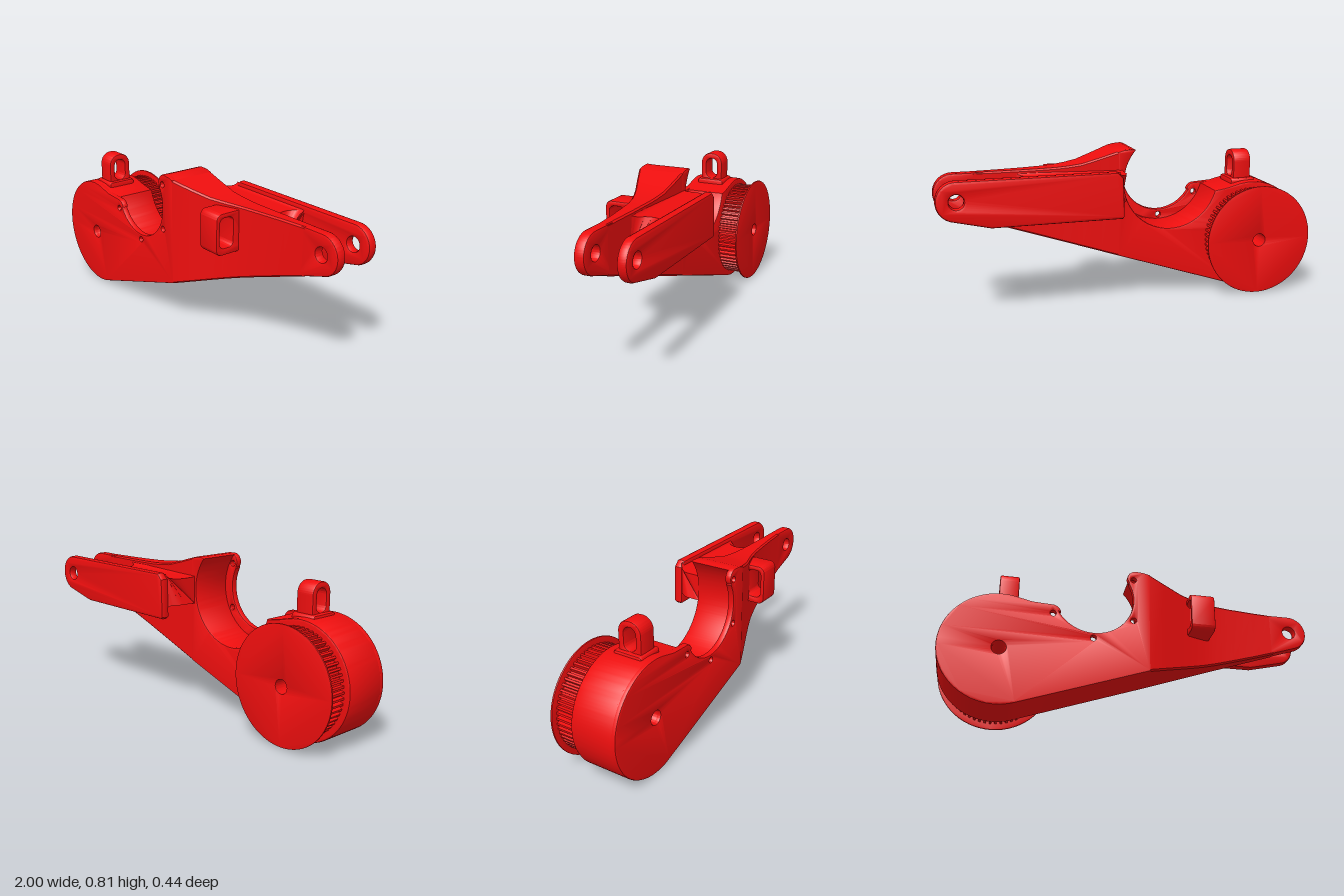
import * as THREE from 'three';
import { toCreasedNormals } from 'three/addons/utils/BufferGeometryUtils.js';

const material = new THREE.MeshStandardMaterial({ color: 0xee0e0e });
const PULLEY = [-0.7, 0.3];      // wheel axis
const MOTOR = [-0.235, 0.632];   // centre of the motor pocket
const PIVOT = [0.9, 0.63];       // fork pin axis

function mesh(name, geometry, crease = 0.6) {
  const m = new THREE.Mesh(toCreasedNormals(geometry, crease), material);
  m.name = name;
  return m;
}

// Extrusion between two depths whose bevel stays inside the given outline
function slab(shape, d0, d1, b = 0.01) {
  const g = new THREE.ExtrudeGeometry(shape, {
    depth: d1 - d0 - 2 * b, bevelEnabled: b > 0, bevelSize: b, bevelThickness: b,
    bevelOffset: -b, bevelSegments: 2, curveSegments: 32,
  });
  return g.translate(0, 0, d0 + b);
}

function hole(shape, [x, y], r) {
  shape.holes.push(new THREE.Path().absarc(x, y, r, 0, Math.PI * 2, true));
}

function roundedRect(x0, y0, x1, y1, r) {
  return new THREE.Shape()
    .absarc(x1 - r, y0 + r, r, -Math.PI / 2, 0)
    .absarc(x1 - r, y1 - r, r, 0, Math.PI / 2)
    .absarc(x0 + r, y1 - r, r, Math.PI / 2, Math.PI)
    .absarc(x0 + r, y0 + r, r, Math.PI, Math.PI * 1.5);
}

// Wheel end plus the side of the body up to the arm; flange adds screw ears
function bodyShape(flange) {
  const s = new THREE.Shape();
  s.moveTo(-0.604, 0.016).lineTo(0.06, 0.24).lineTo(0.06, 0.798).lineTo(0.025, 0.807);
  if (flange) {
    s.absarc(-0.015, 0.764, 0.046, Math.PI / 2, 3.75);
    s.absarc(...MOTOR, 0.206, 0.5, -2.62, true);
    s.absarc(-0.448, 0.52, 0.046, 0.2, Math.PI / 2);
  } else {
    s.lineTo(-0.015, 0.81);
    s.absarc(...MOTOR, 0.26, 0.72, -2.87, true);
  }
  s.lineTo(-0.55, 0.572);
  s.absarc(...PULLEY, 0.3, 1.3, 5.037);
  hole(s, PULLEY, 0.035);
  if (flange) {
    [[-0.443, 0.515], [-0.235, 0.395], [-0.028, 0.515], [-0.028, 0.755]].forEach((p) => hole(s, p, 0.014));
  }
  return s;
}

// Tapering arm, lofted through chamfered sections [x, top, back, front]
function armGeometry() {
  const stations = [
    [0.04, 0.803, -0.03, 0.22], [0.06, 0.798, -0.03, 0.218], [0.15, 0.772, -0.028, 0.182],
    [0.25, 0.745, -0.025, 0.14], [0.32, 0.737, -0.023, 0.112], [0.38, 0.733, -0.022, 0.091],
    [0.45, 0.731, -0.02, 0.074], [0.55, 0.73, -0.02, 0.058], [0.68, 0.73, -0.02, 0.042],
    [0.8, 0.73, -0.02, 0.031],
  ];
  const c = 0.008, n = 8, pos = [], idx = [];
  for (const [x, t, zb, zf] of stations) {
    const b = 0.24 + (x - 0.06) * 0.338;
    const ring = [[b, zb + c], [b + c, zb], [t - c, zb], [t, zb + c],
      [t, zf - c], [t - c, zf], [b + c, zf], [b, zf - c]];
    ring.forEach(([y, z]) => pos.push(x, y, z));
  }
  const last = (stations.length - 1) * n;
  for (let i = 0; i < last; i += n) {
    for (let j = 0; j < n; j++) {
      const k = (j + 1) % n;
      idx.push(i + j, i + k, i + n + j, i + k, i + n + k, i + n + j);
    }
  }
  for (let j = 1; j < n - 1; j++) idx.push(0, j + 1, j, last, last + j, last + j + 1);
  const g = new THREE.BufferGeometry();
  g.setAttribute('position', new THREE.Float32BufferAttribute(pos, 3));
  g.setIndex(idx);
  return g;
}

// Fork web: filleted section run along x, with a round slot end and a curved motor side
function webGeometry() {
  const mid = 0.098, half = 0.082, f = 0.03, steps = 28, top = [], bottom = [];
  for (let i = 0; i <= steps; i++) {
    const d = -Math.cos((Math.PI * i) / steps) * half;
    const e = Math.max(0, Math.abs(d) - half + f);
    const rise = f - Math.sqrt(Math.max(0, f * f - e * e));
    bottom.push(new THREE.Vector2(mid + d, 0.56 - rise * 0.9));
    top.unshift(new THREE.Vector2(mid + d, 0.7 + rise * 0.8));
  }
  const g = new THREE.ExtrudeGeometry(new THREE.Shape([...bottom, ...top]), { depth: 1, bevelEnabled: false });
  const p = g.attributes.position;
  for (let i = 0; i < p.count; i++) {
    const s = p.getX(i), t = p.getZ(i), d = s - mid;
    const start = 0.035 + 0.055 * Math.max(0, (s - 0.1) / 0.08) ** 2;
    const end = 0.61 - Math.sqrt(Math.max(0, half * half - d * d));
    p.setXYZ(i, start + (end - start) * t, p.getY(i), -s);
  }
  return g;
}

// Toothed wheel outline
function gearShape(teeth, rOut, rIn) {
  const pts = [];
  for (let i = 0; i < teeth; i++) {
    [[0, rIn], [0.38, rIn], [0.5, rOut], [0.88, rOut]].forEach(([k, r]) => {
      const a = ((i + k) / teeth) * Math.PI * 2;
      pts.push(new THREE.Vector2(PULLEY[0] + r * Math.cos(a), PULLEY[1] + r * Math.sin(a)));
    });
  }
  const s = new THREE.Shape(pts);
  hole(s, PULLEY, 0.035);
  return s;
}

// Cable guide: rounded frame open along x
function guide(name, outer, inner, x0, x1) {
  outer.holes.push(inner);
  return mesh(name, slab(outer, x0, x1, 0.008).rotateY(Math.PI / 2));
}

export function createModel() {
  const model = new THREE.Group();
  model.name = 'swingArm';

  // Body with motor pocket and front mounting flange
  model.add(mesh('body', slab(bodyShape(false), -0.032, 0.21)));
  model.add(mesh('motorFlange', slab(bodyShape(true), 0.185, 0.22, 0.008)));
  model.add(mesh('arm', armGeometry(), 0.4));

  // Fork: front lug, rear plate and the web between
  const lug = new THREE.Shape();
  lug.moveTo(0.75, 0.475).lineTo(0.82, 0.499).absarc(...PIVOT, 0.1, -1.2, Math.PI / 2).lineTo(0.75, 0.73);
  hole(lug, PIVOT, 0.035);
  model.add(mesh('frontForkLug', slab(lug, -0.02, 0.032)));

  const plate = new THREE.Shape();
  plate.moveTo(0.075, 0.5).lineTo(0.085, 0.49).lineTo(0.74, 0.49);
  plate.absarc(...PIVOT, 0.1, -1.25, Math.PI / 2).lineTo(0.11, 0.73).lineTo(0.08, 0.7);
  hole(plate, PIVOT, 0.035);
  model.add(mesh('rearForkPlate', slab(plate, -0.222, -0.172, 0.014)));
  model.add(mesh('forkWeb', webGeometry()));

  // Belt wheel with thin outer rim
  model.add(mesh('beltWheel', slab(gearShape(60, 0.267, 0.248), -0.15, -0.03, 0), 0.3));
  const rim = new THREE.Shape().absarc(...PULLEY, 0.297, 0, Math.PI * 2);
  hole(rim, PULLEY, 0.035);
  model.add(mesh('wheelRim', slab(rim, -0.156, -0.147, 0.002)));

  // Cable guides on the wheel housing and on the arm
  model.add(guide('topCableGuide', roundedRect(-0.16, 0.54, -0.03, 0.762, 0.06),
    roundedRect(-0.128, 0.615, -0.062, 0.73, 0.032), -0.718, -0.618));
  const foot = slab(roundedRect(-0.175, 0.55, -0.015, 0.612, 0.015), -0.74, -0.598, 0.012);
  model.add(mesh('topGuideFoot', foot.rotateY(Math.PI / 2)));
  model.add(guide('frontCableGuide', roundedRect(-0.22, 0.503, -0.03, 0.716, 0.035),
    roundedRect(-0.197, 0.54, -0.118, 0.69, 0.025), 0.282, 0.412));

  return model;
}
